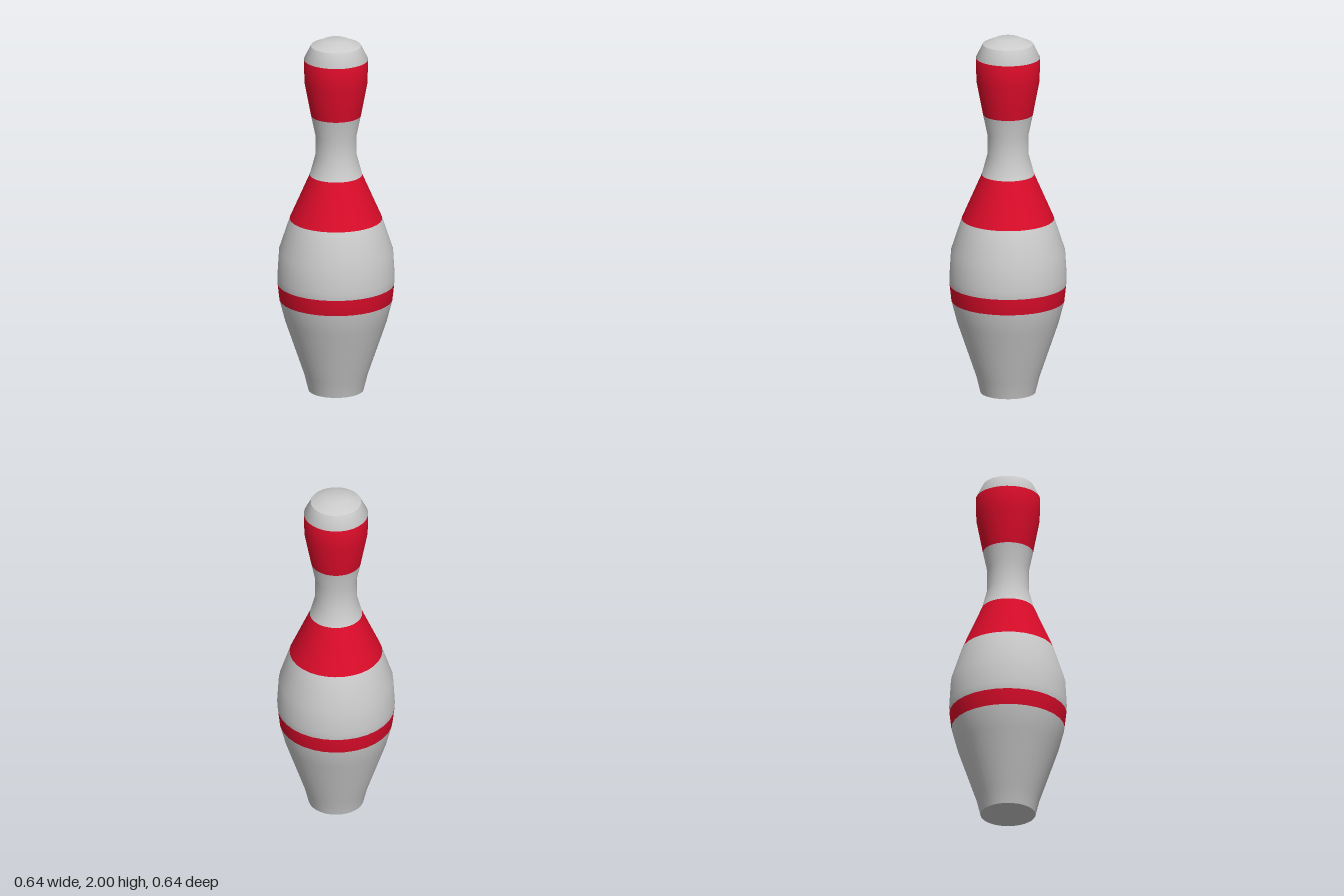
import * as THREE from 'three';

const SIDES = 32;
const grey = new THREE.MeshStandardMaterial({ color: 0xcccccc });
const red = new THREE.MeshStandardMaterial({ color: 0xdc0c2a });

// Outer profile from foot to head: radius, height
const PROFILE = [
  [0.15, 0], [0.172, 0.09], [0.277, 0.4], [0.308, 0.52], [0.318, 0.61],
  [0.32, 0.65], [0.311, 0.8], [0.252, 0.98], [0.143, 1.23], [0.113, 1.34],
  [0.113, 1.46], [0.136, 1.57], [0.172, 1.76], [0.175, 1.89], [0.137, 1.967],
];

// Painted bands: name, first and last profile point, material
const BANDS = [
  ['lowerBody', 0, 3, grey],
  ['bellyStripe', 3, 4, red],
  ['belly', 4, 7, grey],
  ['shoulderStripe', 7, 8, red],
  ['neck', 8, 11, grey],
  ['headStripe', 11, 13, red],
  ['headRim', 13, 14, grey],
];

function lathe(profile) {
  return new THREE.LatheGeometry(profile.map(([r, y]) => new THREE.Vector2(r, y)), SIDES);
}

// Cuts rows from..to out of a turned surface, keeping its smooth normals
function cutBand(surface, rows, from, to) {
  const index = [];
  for (let side = 0; side < SIDES; side++) {
    const start = (side * rows + from) * 6;
    const end = (side * rows + to) * 6;
    for (let k = start; k < end; k++) index.push(surface.index.getX(k));
  }
  const band = surface.clone();
  band.setIndex(index);
  return band.toNonIndexed();
}

export function createModel() {
  const pin = new THREE.Group();
  pin.name = 'bowlingPin';
  const add = (name, geometry, material) => {
    const mesh = new THREE.Mesh(geometry, material);
    mesh.name = name;
    pin.add(mesh);
  };

  // Turned body, painted in bands
  const surface = lathe(PROFILE);
  for (const [name, from, to, material] of BANDS) {
    add(name, cutBand(surface, PROFILE.length - 1, from, to), material);
  }

  // Shallow cap on the head and flat foot below
  add('headCap', lathe([[0.137, 1.967], [0.066, 2], [0, 2]]), grey);
  add('foot', lathe([[0, 0], [0.15, 0]]), grey);
  return pin;
}
